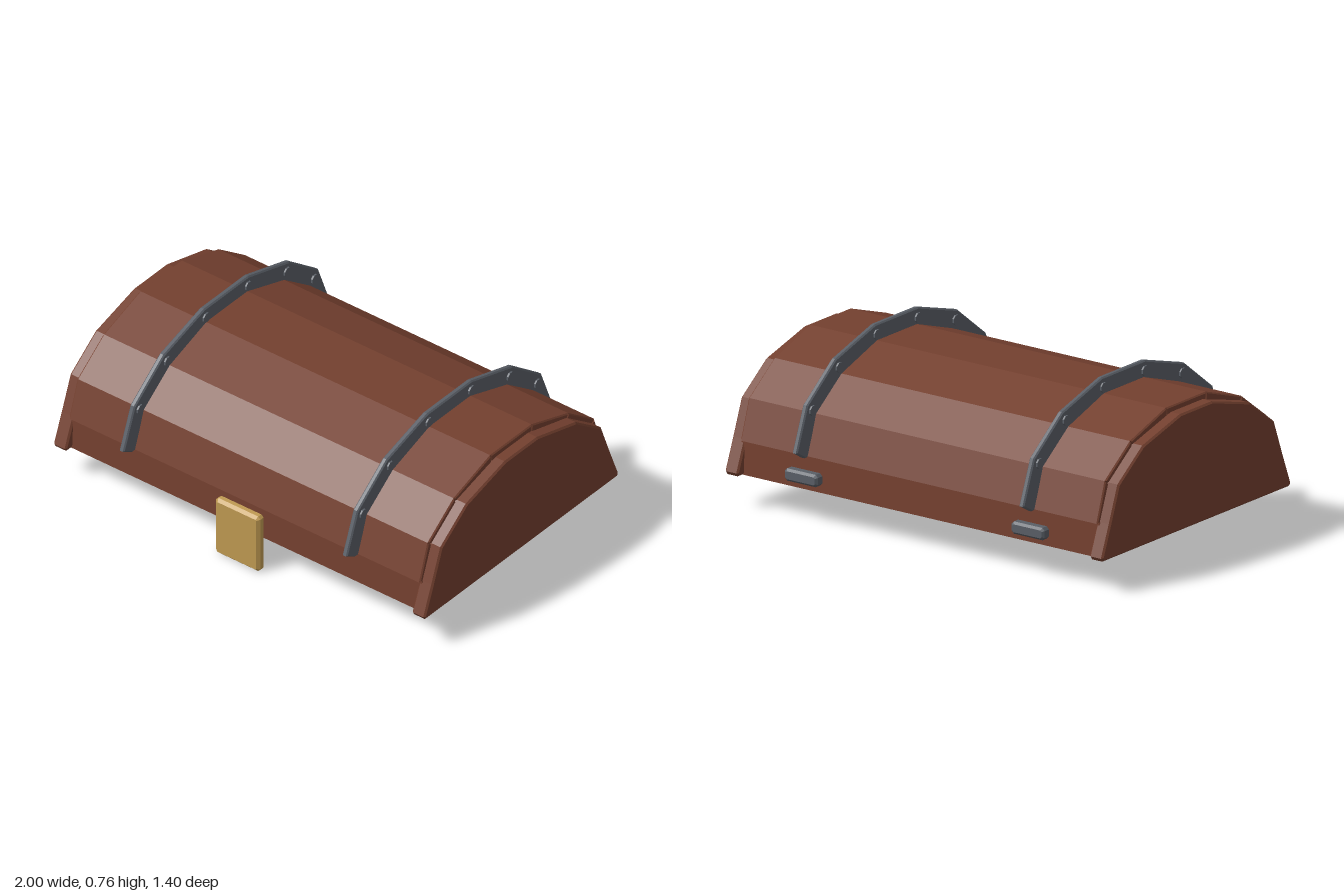
import * as THREE from 'three';

const wood = new THREE.MeshStandardMaterial({ color: 0x74402f });
wood.name = 'brownWood';
const iron = new THREE.MeshStandardMaterial({ color: 0x5a5f67 });
iron.name = 'darkIron';
const brass = new THREE.MeshStandardMaterial({ color: 0xc09a52 });
brass.name = 'brass';

// Bevelled prism: outline stays at the given points, depth is centred on z = 0
function prism(points, width, bevel) {
  const shape = new THREE.Shape(points.map(([a, b]) => new THREE.Vector2(a, b)));
  const depth = width - 2 * bevel;
  const geo = new THREE.ExtrudeGeometry(shape, {
    depth, bevelEnabled: bevel > 0, bevelThickness: bevel, bevelSize: bevel,
    bevelOffset: -bevel, bevelSegments: 1,
  });
  return geo.translate(0, 0, -depth / 2);
}

// Same prism with its outline in (z, y), running along x
const sidePrism = (points, width, bevel) => prism(points, width, bevel).rotateY(-Math.PI / 2);

// Completes a half profile, listed from the front foot to the crown
const mirrorProfile = (half) => [...half, ...half.map(([z, y]) => [-z, y]).reverse()];

// Rectangle with cut corners
function cutRect(w, h, c) {
  const x = w / 2, y = h / 2;
  return [[x, c - y], [x, y - c], [x - c, y], [c - x, y],
    [-x, y - c], [-x, c - y], [c - x, -y], [x - c, -y]];
}

export function createModel() {
  const model = new THREE.Group();
  model.name = 'chestLid';
  const add = (name, geo, mat, x = 0, y = 0, z = 0) => {
    const mesh = new THREE.Mesh(geo, mat);
    mesh.name = name;
    mesh.position.set(x, y, z);
    model.add(mesh);
  };

  const outer = mirrorProfile([[0.622, 0.295], [0.565, 0.47], [0.388, 0.602], [0.14, 0.685]]);
  const inner = mirrorProfile([[0.575, 0.295], [0.528, 0.445], [0.366, 0.563], [0.133, 0.64]]);

  // Solid core and lower rim
  add('core', sidePrism(mirrorProfile([[0.61, 0.15], [0.595, 0.31], [0.545, 0.45], [0.375, 0.58], [0.135, 0.66]]), 1.86, 0), wood);
  add('rim', sidePrism([[0.618, 0.145], [0.61, 0.3], [-0.61, 0.3], [-0.618, 0.145]], 1.9, 0.004), wood);

  // Seven curved-roof planks
  for (let i = 0; i < outer.length - 1; i++) {
    add('plank' + (i + 1), sidePrism([outer[i], outer[i + 1], inner[i + 1], inner[i]], 1.89, 0.006), wood);
  }

  // End panels with flared feet
  const endProfile = mirrorProfile([[0.65, 0.145], [0.66, 0.16], [0.605, 0.3], [0.545, 0.46], [0.372, 0.588], [0.11, 0.66]]);
  for (const s of [-1, 1]) {
    add(s > 0 ? 'leftEnd' : 'rightEnd', sidePrism(endProfile, 0.07, 0.008), wood, s * 0.965);
  }

  // Iron straps, rivets and rear hinges
  const strapOuter = mirrorProfile([[0.7, 0.325], [0.625, 0.52], [0.425, 0.675], [0.15, 0.757]]);
  const strapInner = mirrorProfile([[0.62, 0.29], [0.558, 0.465], [0.383, 0.597], [0.137, 0.68]]);
  const strapGeo = sidePrism([[0.64, 0.29], ...strapOuter, [-0.64, 0.29], ...strapInner.reverse()], 0.026, 0.006);
  const rivetGeo = new THREE.CylinderGeometry(0.023, 0.023, 0.042, 8)
    .rotateY(Math.PI / 8).rotateZ(Math.PI / 2).toNonIndexed();
  rivetGeo.computeVertexNormals();
  const hingeGeo = prism(cutRect(0.175, 0.055, 0.012), 0.05, 0.01);
  for (const s of [-1, 1]) {
    add('strap', strapGeo, iron, s * 0.6);
    for (const [z, y] of mirrorProfile([[0.592, 0.491], [0.407, 0.635], [0.144, 0.713]])) {
      add('rivet', rivetGeo, iron, s * 0.6, y, z);
    }
    add('hinge', hingeGeo, iron, s * 0.6, 0.205, -0.635);
  }

  // Brass hasp plate hanging at the front
  add('hasp', prism(cutRect(0.238, 0.285, 0.012), 0.046, 0.013), brass, 0, 0.1425, 0.653);
  return model;
}
